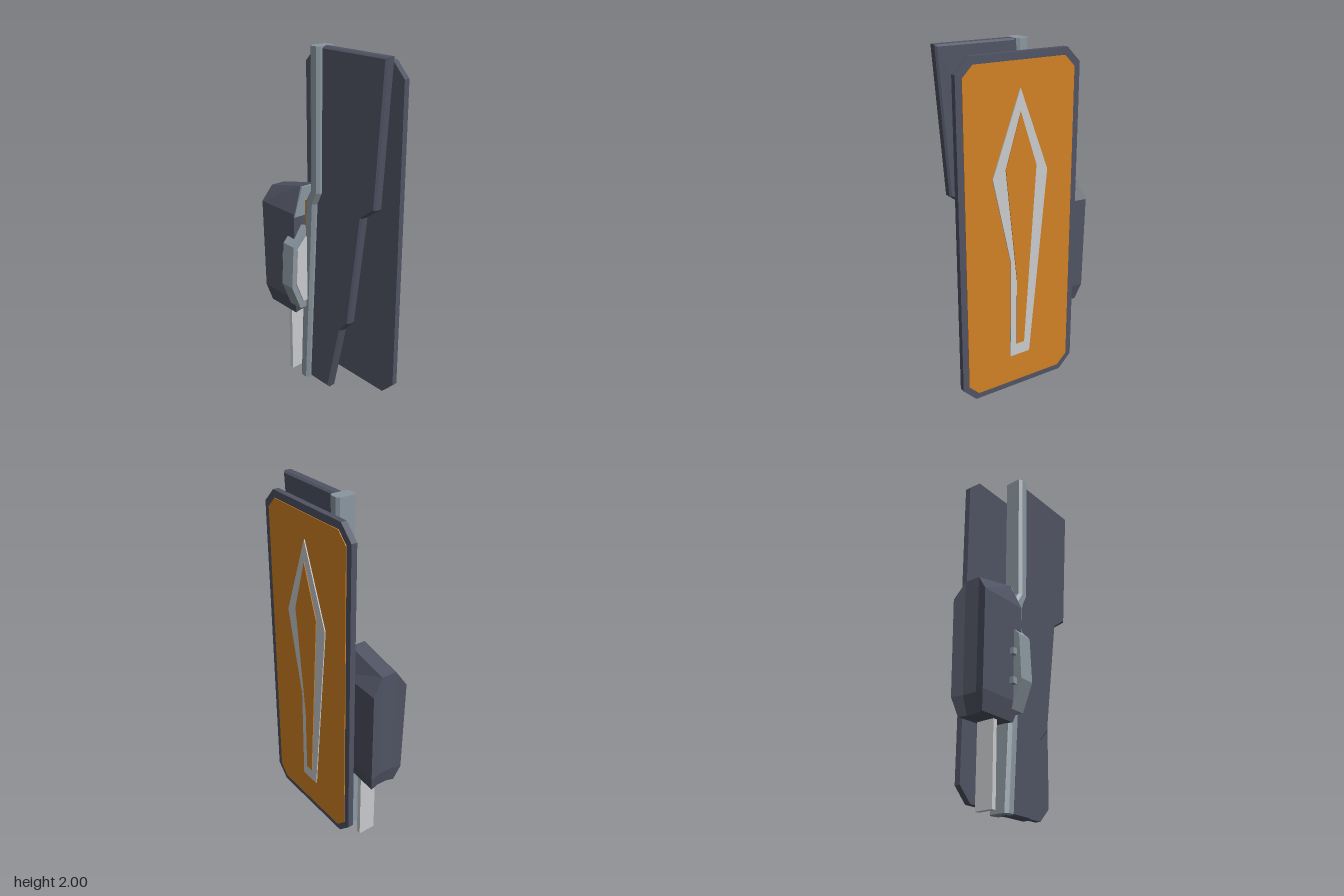
import * as THREE from 'three';

const mat = (name, color) => {
  const m = new THREE.MeshStandardMaterial({ color });
  m.name = name;
  return m;
};

// Closed solid through rings of [x, y, z], listed bottom to top, faceted
function loft(rings) {
  const n = rings[0].length, pos = [];
  const tri = (...p) => p.forEach(v => pos.push(...v));
  const centre = r => [0, 1, 2].map(k => r.reduce((s, v) => s + v[k], 0) / n);
  const last = rings[rings.length - 1];
  const c0 = centre(rings[0]), c1 = centre(last);
  for (let i = 0; i < n; i++) {
    const j = (i + 1) % n;
    for (let r = 0; r + 1 < rings.length; r++) {
      const a = rings[r], b = rings[r + 1];
      tri(a[i], a[j], b[j]);
      tri(a[i], b[j], b[i]);
    }
    tri(c0, rings[0][j], rings[0][i]);
    tri(c1, last[i], last[j]);
  }
  const g = new THREE.BufferGeometry();
  g.setAttribute('position', new THREE.Float32BufferAttribute(pos, 3));
  g.computeVertexNormals();
  return g;
}

// Plate with a [z, y] outline, running from x0 to x1
function sidePlate(points, x0, x1, bevel = 0) {
  const shape = new THREE.Shape(points.map(([z, y]) => new THREE.Vector2(-z, y)));
  const g = new THREE.ExtrudeGeometry(shape, {
    depth: x1 - x0 - 2 * bevel, bevelEnabled: bevel > 0, bevelSegments: 1,
    bevelSize: bevel, bevelThickness: bevel, bevelOffset: -bevel,
  });
  return g.rotateY(Math.PI / 2).translate(x0 + bevel, 0, 0);
}

// Plate with an [x, y] outline, running from z0 to z1
function frontPlate(points, z0, z1) {
  const shape = new THREE.Shape(points.map(p => new THREE.Vector2(...p)));
  return new THREE.ExtrudeGeometry(shape, { depth: z1 - z0, bevelEnabled: false }).translate(0, 0, z0);
}

// Rectangle with cut corners
const cutRect = (z0, z1, y0, y1, c) => [
  [z0 + c, y0], [z1 - c, y0], [z1, y0 + c], [z1, y1 - c],
  [z1 - c, y1], [z0 + c, y1], [z0, y1 - c], [z0, y0 + c],
];

export function createModel() {
  const group = new THREE.Group();
  const dark = mat('dark slate', 0x505363);
  const steel = mat('blue grey steel', 0x8a969f);
  const light = mat('light grey', 0xc8cacd);
  const orange = mat('orange', 0xd08024);
  const add = (name, geometry, material) => {
    const m = new THREE.Mesh(geometry, material);
    m.name = name;
    group.add(m);
    return m;
  };

  // Stepped blade
  add('blade', sidePlate([
    [0.44, 2], [0.385, 1.23], [0.29, 1.16], [0.2, 0.5], [0.137, 0.43], [0.037, 0],
    [-0.16, 0], [-0.09, 1.13], [-0.04, 1.22], [-0.03, 2],
  ], -0.036, 0.022, 0.01), dark);

  // Spine rail, kinked where it meets the guard
  const railRing = ([y, f, b]) => {
    const m = b + 0.02;
    return [[-0.05, f], [0.037, f], [0.05, f - 0.015], [0.05, m],
      [0.038, b], [-0.052, b], [-0.065, m], [-0.065, f - 0.015]].map(([x, z]) => [x, y, z]);
  };
  add('spineRail', loft([
    [0, -0.12, -0.19], [1.15, -0.05, -0.13], [1.22, -0.015, -0.085], [2, -0.005, -0.08],
  ].map(railRing)), steel);

  // Rear guard: grooved shell with a three-panel roof
  const section = [[-0.06, -0.165], [0.03, -0.165], [0.08, -0.147], [0.095, -0.443],
    [0.03, -0.425], [-0.06, -0.425], [-0.12, -0.443], [-0.125, -0.15]];
  const guardRing = (y, sx, sz) => section.map(([x, z]) =>
    [-0.015 + (x + 0.015) * sx, y, -0.3 + (z + 0.3) * sz]);
  const FL = [-0.06, 1.23, -0.165], FR = [0.03, 1.23, -0.165];
  const BR = [0.03, 1.17, -0.425], BL = [-0.06, 1.17, -0.425];
  add('rearGuard', loft([
    guardRing(0.44, 0.72, 0.78), guardRing(0.54, 0.95, 0.97), guardRing(1.08, 1, 1),
    [FL, FR, FR, BR, BR, BL, BL, FL],
  ]), dark);

  // Light rim along the front of the guard roof
  add('guardRim', frontPlate([[-0.12, 1.06], [0.08, 1.06], [0.03, 1.225], [-0.06, 1.225]],
    -0.166, -0.15), steel);

  // Mounting frame reaching across to the shield
  const outline = [[-0.155, 0.9], [-0.17, 0.65], [-0.11, 0.5], [0.035, 0.5],
    [0.122, 0.78], [0.05, 0.97], [-0.06, 1.0]];
  add('mountFrame', frontPlate(outline, -0.21, -0.12), steel);
  add('mountFace', frontPlate(outline.map(([x, y]) => [-0.02 + (x + 0.02) * 0.82, 0.76 + (y - 0.76) * 0.82]),
    -0.12, -0.111), light);
  for (const y of [0.64, 0.8]) {
    add('frameTab', new THREE.BoxGeometry(0.025, 0.035, 0.05).translate(-0.13, y, -0.215), steel);
  }

  // Grip core between rail and guard
  add('gripCore', new THREE.CylinderGeometry(0.025, 0.025, 0.7, 8).translate(-0.02, 0.8, -0.145), orange);

  // Tail plate below the guard
  add('tailPlate', new THREE.BoxGeometry(0.105, 0.52, 0.026).translate(-0.008, 0.26, -0.278), light);

  // Side shield and its layered painted panel
  add('shield', sidePlate(cutRect(-0.32, 0.412, 0.055, 1.955, 0.08), 0.12, 0.153), dark);
  add('shieldPanel', sidePlate(cutRect(-0.284, 0.376, 0.09, 1.915, 0.06), 0.153, 0.157), orange);
  add('emblemOutline', sidePlate([
    [0.05, 1.78], [0.216, 1.33], [0.106, 0.84], [0.11, 0.262], [-0.016, 0.262], [-0.12, 1.335],
  ], 0.157, 0.163), light);
  add('emblemCentre', sidePlate([
    [0.05, 1.66], [0.14, 1.37], [0.07, 0.73], [0.07, 0.335], [0.022, 0.335], [-0.048, 1.37],
  ], 0.163, 0.167), orange);

  return group;
}
